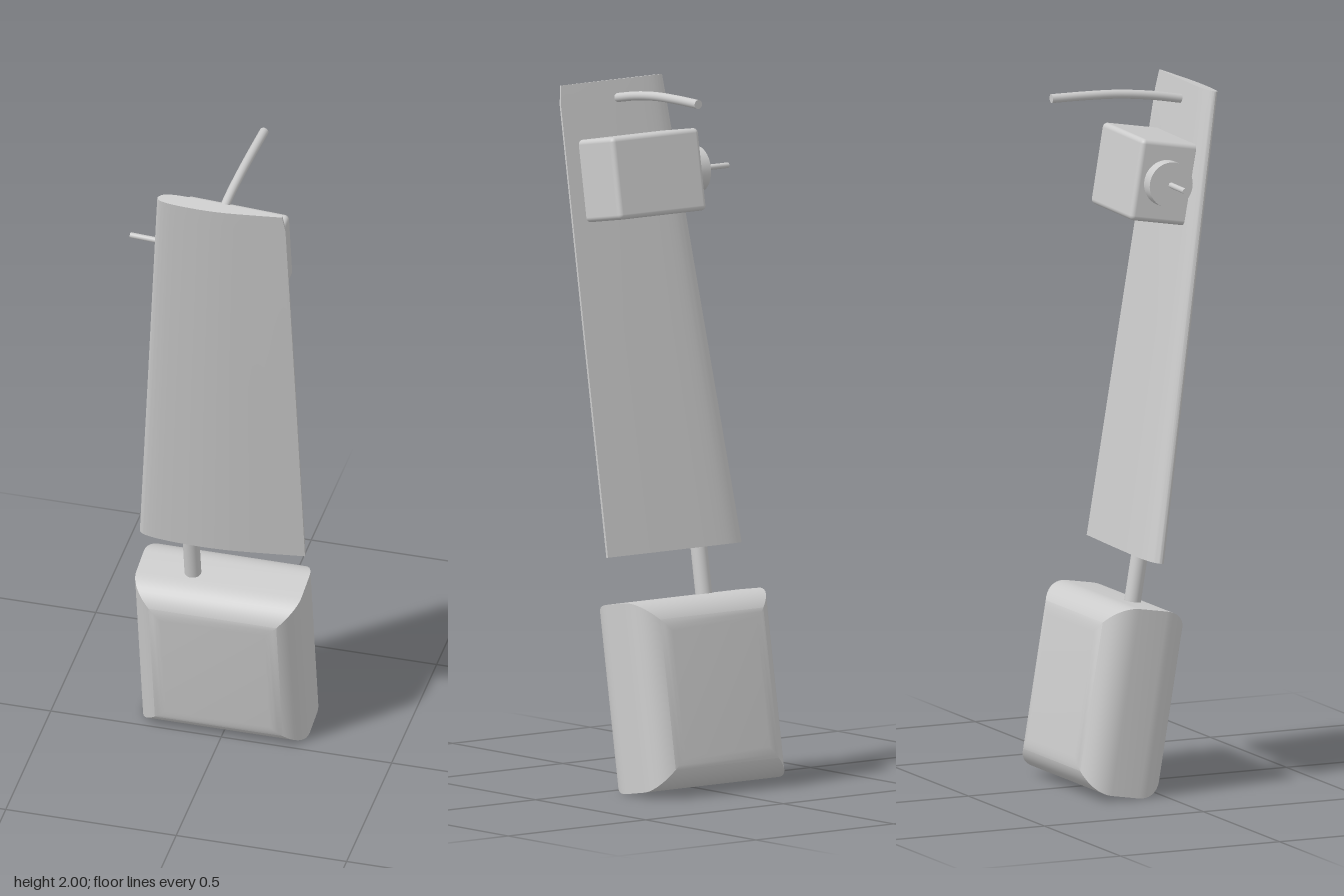
import * as THREE from 'three';
import { toCreasedNormals } from 'three/addons/utils/BufferGeometryUtils.js';
import { RoundedBoxGeometry } from 'three/addons/geometries/RoundedBoxGeometry.js';

const material = new THREE.MeshStandardMaterial({ color: 0xcccccc });

function addPart(parent, name, geometry, x = 0, y = 0, z = 0) {
  const mesh = new THREE.Mesh(geometry, material);
  mesh.name = name;
  mesh.position.set(x, y, z);
  parent.add(mesh);
  return mesh;
}

// Closed loft through rings stacked along +y, each counter-clockwise seen from +y
function loft(rings, crease) {
  const n = rings[0].length;
  const points = rings.flat();
  const index = [];
  for (let i = 0; i < rings.length - 1; i++) {
    for (let j = 0; j < n; j++) {
      const a = i * n + j, b = i * n + (j + 1) % n;
      index.push(a, b, b + n, a, b + n, a + n);
    }
  }
  const cap = (start, ring, top) => {
    const centre = new THREE.Vector3();
    ring.forEach((p) => centre.addScaledVector(p, 1 / n));
    const c = points.push(centre) - 1;
    for (let j = 0; j < n; j++) {
      const a = start + j, b = start + (j + 1) % n;
      index.push(c, top ? a : b, top ? b : a);
    }
  };
  cap(0, rings[0], false);
  cap((rings.length - 1) * n, rings[rings.length - 1], true);
  const geometry = new THREE.BufferGeometry().setFromPoints(points);
  geometry.setIndex(index);
  return toCreasedNormals(geometry, crease);
}

// Tapered aerofoil: rounded leading edge at -x, thin trailing edge at +x
function wingGeometry() {
  const outline = new THREE.SplineCurve([
    [1, -0.012], [0.6, -0.042], [0.2, -0.064], [0.06, -0.055], [0.015, -0.032], [0, 0],
    [0.04, 0.027], [0.15, 0.045], [0.35, 0.055], [0.55, 0.05], [0.8, 0.026], [1, 0.004],
  ].map(([x, z]) => new THREE.Vector2(x, z))).getPoints(66);
  const sections = [ // height, leading edge x, trailing edge x
    [0, -0.24, 0.245], [0.65, -0.187, 0.245], [1.29, -0.135, 0.244], [1.346, -0.13, 0.236],
  ];
  return loft(sections.map(([y, lead, trail]) => {
    const chord = trail - lead;
    return outline.map((p) => new THREE.Vector3(lead + p.x * chord, y, p.y * chord));
  }), 0.6);
}

// Block whose front and back rims are filleted, with mitred corners
function baseGeometry(halfW, halfH, halfD, r) {
  const rings = [];
  const steps = 12;
  const ring = (inset, y) => {
    const w = halfW - inset, h = halfH - inset;
    rings.push([[w, h], [w, -h], [-w, -h], [-w, h]].map(([x, z]) => new THREE.Vector3(x, y, z)));
  };
  for (const side of [-1, 1]) {
    for (let i = 0; i <= steps; i++) {
      const a = (side < 0 ? 1 - i / steps : i / steps) * Math.PI / 2;
      ring(r * (1 - Math.cos(a)), side * (halfD - r + r * Math.sin(a)));
    }
  }
  return loft(rings, 0.5).rotateX(Math.PI / 2);
}

export function createModel() {
  const model = new THREE.Group();
  model.name = 'model';

  // Everything leans forward about the foot of the wing
  const leaning = new THREE.Group();
  leaning.name = 'leaningAssembly';
  leaning.position.set(0, 0.67, -0.005);
  leaning.rotation.x = 0.166;
  model.add(leaning);

  addPart(leaning, 'wing', wingGeometry());
  addPart(leaning, 'base', baseGeometry(0.243, 0.27, 0.133, 0.09), -0.005, -0.403, -0.009);
  addPart(leaning, 'post', new THREE.CylinderGeometry(0.024, 0.024, 0.3, 32), -0.09, -0.04, 0);

  // Motor on the back of the wing, turned to lie flat on its surface
  const motor = new THREE.Group();
  motor.name = 'motor';
  motor.position.set(0.05, 1.069, -0.093);
  motor.rotation.y = -0.058;
  leaning.add(motor);
  addPart(motor, 'motorHousing', new RoundedBoxGeometry(0.305, 0.235, 0.18, 4, 0.014));
  addPart(motor, 'motorCollar',
    new THREE.CylinderGeometry(0.066, 0.066, 0.06, 40).rotateZ(Math.PI / 2), -0.165, 0, 0);
  addPart(motor, 'motorShaft',
    new THREE.CylinderGeometry(0.008, 0.008, 0.13, 20).rotateZ(Math.PI / 2), -0.235, 0, 0);

  // Bent rod reaching back from the wing
  const path = new THREE.CatmullRomCurve3([
    [0.047, 1.294, -0.01], [0.053, 1.2945, -0.11], [0.06, 1.288, -0.211],
    [0.066, 1.274, -0.31], [0.072, 1.256, -0.413],
  ].map((p) => new THREE.Vector3(...p)));
  const rod = new THREE.Group();
  rod.name = 'rod';
  leaning.add(rod);
  addPart(rod, 'rodBody', new THREE.TubeGeometry(path, 32, 0.013, 16));
  const end = path.getPoint(1);
  const cap = addPart(rod, 'rodEnd', new THREE.CircleGeometry(0.013, 16), end.x, end.y, end.z);
  cap.quaternion.setFromUnitVectors(new THREE.Vector3(0, 0, 1), path.getTangent(1));

  return model;
}
